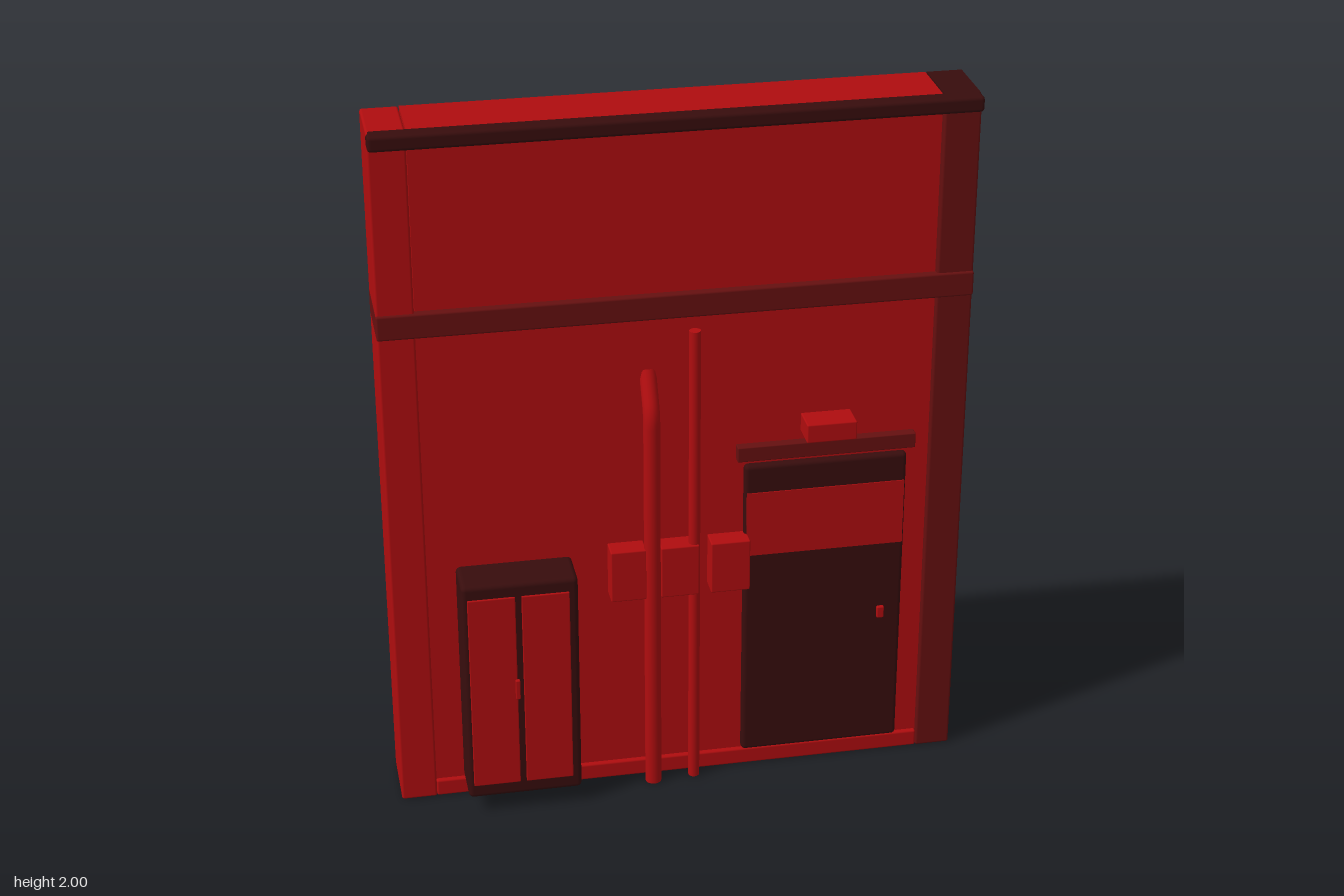
import * as THREE from 'three';
import { RoundedBoxGeometry } from 'three/addons/geometries/RoundedBoxGeometry.js';

const paint = (name, color) => {
  const m = new THREE.MeshStandardMaterial({ color });
  m.name = name;
  return m;
};

export function createModel() {
  const red = paint('red', 0xb00d0f);
  const darkRed = paint('dark red', 0x661010);
  const maroon = paint('near black maroon', 0x380d0d);

  const group = new THREE.Group();
  group.name = 'wallSegment';

  const add = (name, geometry, material) => {
    const mesh = new THREE.Mesh(geometry, material);
    mesh.name = name;
    group.add(mesh);
    return mesh;
  };
  // Box given by its limits on each axis, with an optional rounded edge
  const box = (name, material, [x0, x1], [y0, y1], [z0, z1], r = 0) => {
    const s = [x1 - x0, y1 - y0, z1 - z0];
    const g = r ? new RoundedBoxGeometry(...s, 2, r) : new THREE.BoxGeometry(...s);
    add(name, g, material).position.set((x0 + x1) / 2, (y0 + y1) / 2, (z0 + z1) / 2);
  };

  // Wall, sill and posts
  box('lowerWall', red, [-0.705, 0.705], [0.01, 1.46], [-0.142, 0.025]);
  box('upperWall', red, [-0.698, 0.698], [1.46, 1.999], [-0.153, 0.025]);
  box('sill', red, [-0.7, 0.7], [0, 0.05], [-0.152, 0.038], 0.006);
  box('rightPost', red, [-0.8, -0.7], [0, 1.999], [-0.155, 0.04], 0.007);
  box('leftPost', darkRed, [0.7, 0.8], [0, 1.996], [-0.155, 0.04], 0.007);
  box('leftPostCap', maroon, [0.702, 0.798], [1.993, 1.999], [-0.153, 0.03]);

  // Cross beam and top trim
  box('crossBeam', darkRed, [-0.801, 0.801], [1.43, 1.5], [-0.15, 0.046], 0.006);
  box('topTrim', maroon, [-0.8, 0.8], [1.957, 2], [0.015, 0.067], 0.01);

  // Cabinet with two doors and a handle
  box('cabinet', maroon, [-0.62, -0.3], [0.05, 0.73], [0.01, 0.145], 0.014);
  for (const [x0, x1] of [[-0.605, -0.474], [-0.457, -0.325]])
    box('cabinetDoor', red, [x0, x1], [0.093, 0.69], [0.13, 0.15], 0.003);
  box('cabinetHandle', red, [-0.481, -0.468], [0.37, 0.43], [0.145, 0.159], 0.003);

  // Pipes: the thick one bends back into the wall
  const bend = new THREE.CurvePath();
  const v = (y, z) => new THREE.Vector3(-0.083, y, z);
  bend.add(new THREE.LineCurve3(v(0, 0.071), v(1.13, 0.071)));
  bend.add(new THREE.QuadraticBezierCurve3(v(1.13, 0.071), v(1.165, 0.071), v(1.19, 0.056)));
  bend.add(new THREE.LineCurve3(v(1.19, 0.056), v(1.27, 0.01)));
  add('bentPipe', new THREE.TubeGeometry(bend, 90, 0.023, 14), red);
  const bottom = add('bentPipeEnd', new THREE.CircleGeometry(0.023, 14), red);
  bottom.rotation.x = Math.PI / 2;
  bottom.position.set(-0.083, 0.001, 0.071);
  add('straightPipe', new THREE.CylinderGeometry(0.016, 0.016, 1.4, 14), red)
    .position.set(0.036, 0.7, 0.063);

  // Junction boxes
  for (const [x0, x1] of [[-0.2, -0.1], [-0.06, 0.047], [0.08, 0.19]])
    box('junctionBox', red, [x0, x1], [0.605, 0.76], [0.02, 0.083], 0.004);

  // Door with window, knob, canopy and lamp
  box('door', maroon, [0.18, 0.637], [0.05, 0.97], [0, 0.045], 0.012);
  box('doorWindow', red, [0.186, 0.631], [0.692, 0.887], [0.04, 0.048]);
  box('doorKnob', red, [0.565, 0.586], [0.454, 0.49], [0.04, 0.055], 0.004);
  box('doorCanopy', darkRed, [0.158, 0.657], [0.988, 1.032], [0.01, 0.052], 0.003);
  box('doorLamp', red, [0.338, 0.477], [1.055, 1.11], [0.01, 0.103], 0.004);

  return group;
}
